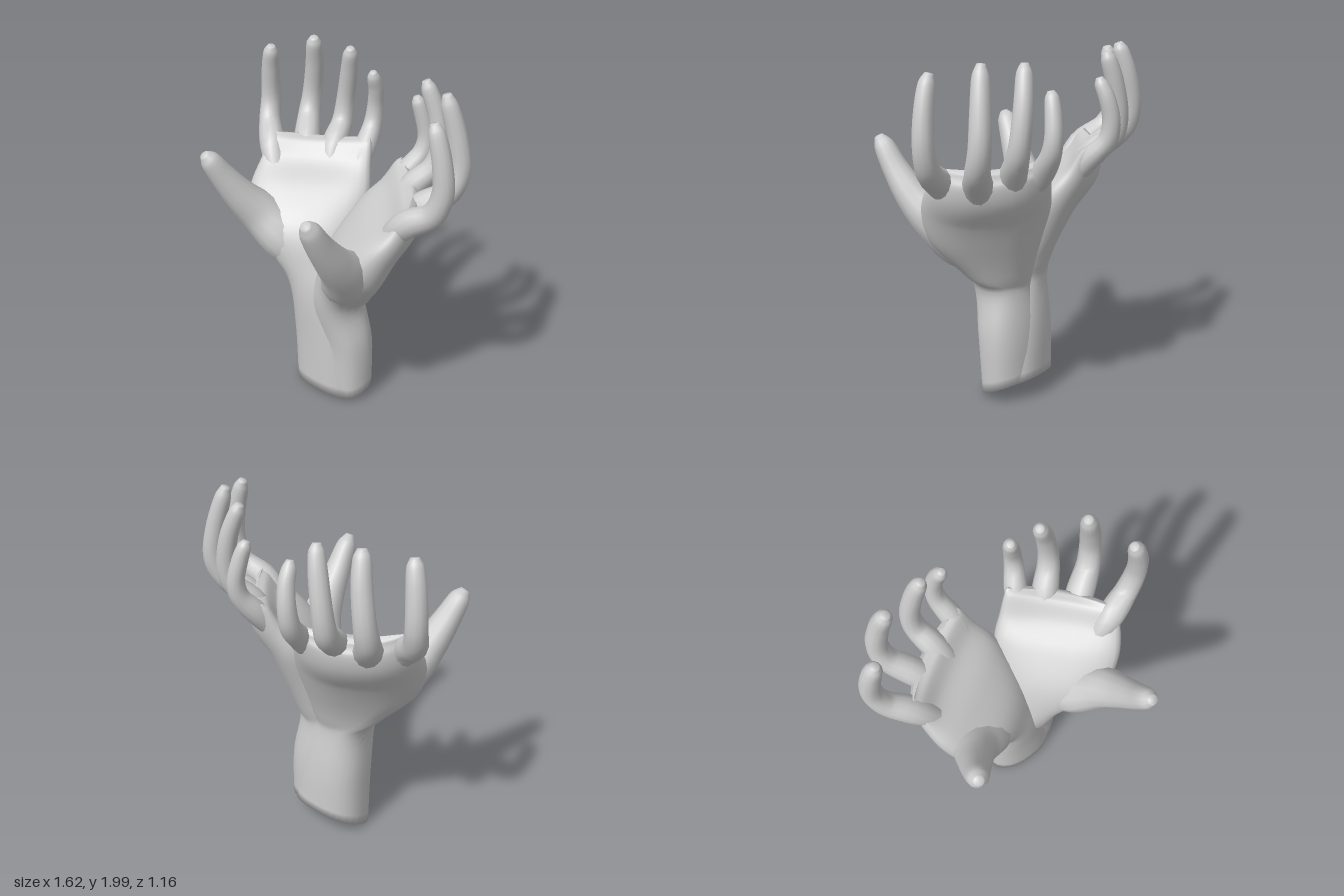
import * as THREE from 'three';

const V = (a) => new THREE.Vector3(a[0], a[1], a[2]);
const spline = (pts) => new THREE.CatmullRomCurve3(pts);

// Skins rings given by frame(t) -> { c, u, v }, with capped ends.
// cup pushes the middle of each ring sideways, making a hollow palm.
function loft(frame, rings, sides, power = 1) {
  const pos = [], idx = [];
  const soft = (x) => Math.sign(x) * Math.pow(Math.abs(x), power);
  for (let i = 0; i <= rings; i++) {
    const { c, u, v, cup = 0 } = frame(i / rings);
    const n = v.clone().normalize();
    for (let j = 0; j < sides; j++) {
      const a = (j / sides) * Math.PI * 2;
      const p = c.clone()
        .addScaledVector(u, soft(Math.cos(a)))
        .addScaledVector(v, soft(Math.sin(a)))
        .addScaledVector(n, cup * Math.sin(a) ** 2);
      pos.push(p.x, p.y, p.z);
    }
  }
  for (let i = 0; i < rings; i++) {
    for (let j = 0; j < sides; j++) {
      const k = (j + 1) % sides;
      const a = i * sides + j, b = i * sides + k;
      idx.push(a, b, b + sides, a, b + sides, a + sides);
    }
  }
  for (const i of [0, rings]) {
    const f = frame(i / rings), centre = pos.length / 3;
    const m = f.c.addScaledVector(f.v.clone().normalize(), f.cup || 0);
    pos.push(m.x, m.y, m.z);
    for (let j = 0; j < sides; j++) {
      const a = i * sides + j, b = i * sides + (j + 1) % sides;
      if (i === 0) idx.push(centre, b, a);
      else idx.push(centre, a, b);
    }
  }
  const g = new THREE.BufferGeometry();
  g.setAttribute('position', new THREE.Float32BufferAttribute(pos, 3));
  g.setIndex(idx);
  g.computeVertexNormals();
  return g;
}

// Round limb along a path, with a radius at each path point
function limb(path, radii) {
  const curve = spline(path.map(V));
  const size = spline(radii.map((r, i) => new THREE.Vector3(r, i, 0)));
  return loft((t) => {
    const d = curve.getTangent(t), r = size.getPoint(t).x;
    const u = new THREE.Vector3(1, 0, 0);
    u.addScaledVector(d, -u.dot(d)).normalize();
    const v = d.clone().cross(u);
    return { c: curve.getPoint(t), u: u.multiplyScalar(r), v: v.multiplyScalar(r) };
  }, 26, 12);
}

// Forearm and palm: sections are [thumb edge, little finger edge, half thickness, hollow]
function armAndPalm(sections, side) {
  const P = spline(sections.map((s) => V(s[0])));
  const Q = spline(sections.map((s) => V(s[1])));
  const T = spline(sections.map((s, i) => new THREE.Vector3(s[2], i, s[3])));
  const mid = (t) => P.getPoint(t).add(Q.getPoint(t)).multiplyScalar(0.5);
  const g = loft((t) => {
    const c = mid(t), u = P.getPoint(t).sub(c), k = T.getPoint(t);
    const d = mid(Math.min(1, t + 0.01)).sub(mid(Math.max(0, t - 0.01)));
    const v = d.cross(u).normalize().multiplyScalar(k.x);
    return { c, u, v, cup: -side * k.z };
  }, 44, 28, 0.85);
  // uneven cut at the foot
  const p = g.attributes.position;
  for (let i = 0; i < p.count; i++) {
    const y = p.getY(i);
    if (y < 0.4) p.setY(i, y + Math.abs(p.getZ(i) - 0.05) * 0.45 * (1 - y / 0.4));
  }
  g.computeVertexNormals();
  return g;
}

const fingerRadii = [0.055, 0.076, 0.065, 0.058, 0.053, 0.044, 0.022];
const thumbRadii = [0.08, 0.135, 0.125, 0.098, 0.075, 0.057, 0.025];
const fingerScale = { indexFinger: 1, middleFinger: 1.03, ringFinger: 0.96, littleFinger: 0.84 };

const rightHand = {
  side: 1,
  palm: [
    [[-0.25, 0.0, -0.02], [0.2, 0.02, -0.07], 0.175, 0],
    [[-0.25, 0.4, -0.01], [0.15, 0.4, -0.05], 0.175, 0],
    [[-0.25, 0.68, 0.04], [0.08, 0.68, -0.04], 0.165, 0],
    [[-0.32, 0.82, 0.13], [0.05, 0.82, -0.13], 0.165, 0],
    [[-0.47, 1.0, 0.2], [0.02, 1.0, -0.22], 0.165, 0.005],
    [[-0.56, 1.18, 0.13], [-0.01, 1.19, -0.31], 0.132, 0.04],
    [[-0.6, 1.32, 0.01], [-0.08, 1.33, -0.38], 0.098, 0.068],
    [[-0.6, 1.43, -0.06], [-0.12, 1.45, -0.42], 0.06, 0.065],
    [[-0.59, 1.47, -0.1], [-0.14, 1.48, -0.43], 0.015, 0.06],
  ],
  thumb: [[-0.16, 0.82, 0.04], [-0.28, 0.95, 0.1], [-0.4, 1.09, 0.17], [-0.455, 1.22, 0.27],
    [-0.495, 1.36, 0.36], [-0.52, 1.47, 0.425], [-0.53, 1.51, 0.455]],
  fingers: {
    indexFinger: [[-0.48, 1.23, -0.02], [-0.6, 1.38, -0.08], [-0.72, 1.48, -0.16], [-0.755, 1.6, -0.2],
      [-0.735, 1.8, -0.19], [-0.71, 1.9, -0.175], [-0.7, 1.94, -0.17]],
    middleFinger: [[-0.38, 1.22, -0.14], [-0.48, 1.38, -0.24], [-0.595, 1.5, -0.36], [-0.61, 1.62, -0.4],
      [-0.575, 1.82, -0.39], [-0.545, 1.95, -0.36], [-0.535, 1.99, -0.35]],
    ringFinger: [[-0.27, 1.24, -0.23], [-0.33, 1.4, -0.32], [-0.38, 1.5, -0.43], [-0.385, 1.62, -0.46],
      [-0.345, 1.82, -0.45], [-0.315, 1.93, -0.43], [-0.305, 1.97, -0.42]],
    littleFinger: [[-0.15, 1.25, -0.29], [-0.17, 1.4, -0.41], [-0.205, 1.52, -0.51], [-0.205, 1.63, -0.53],
      [-0.185, 1.75, -0.51], [-0.175, 1.82, -0.48], [-0.17, 1.855, -0.47]],
  },
};

const leftHand = {
  side: -1,
  palm: [
    [[0.24, 0.02, -0.04], [-0.12, 0.02, -0.1], 0.13, 0],
    [[0.245, 0.4, -0.02], [-0.12, 0.4, -0.08], 0.14, 0],
    [[0.21, 0.66, 0.04], [-0.1, 0.66, -0.05], 0.15, 0],
    [[0.29, 0.8, 0.13], [-0.06, 0.8, -0.13], 0.16, 0],
    [[0.44, 1.0, 0.21], [-0.02, 1.0, -0.22], 0.165, 0.005],
    [[0.53, 1.18, 0.17], [0.01, 1.19, -0.3], 0.132, 0.04],
    [[0.58, 1.3, 0.09], [0.08, 1.32, -0.35], 0.098, 0.068],
    [[0.59, 1.4, 0.03], [0.13, 1.44, -0.38], 0.06, 0.065],
    [[0.58, 1.44, -0.01], [0.15, 1.47, -0.39], 0.015, 0.06],
  ],
  thumb: [[0.15, 0.82, 0.06], [0.26, 0.93, 0.13], [0.36, 1.07, 0.23], [0.405, 1.19, 0.34],
    [0.425, 1.33, 0.445], [0.435, 1.46, 0.525], [0.44, 1.51, 0.56]],
  fingers: {
    indexFinger: [[0.45, 1.22, 0.02], [0.57, 1.36, 0.0], [0.7, 1.45, -0.05], [0.748, 1.57, -0.065],
      [0.74, 1.73, -0.06], [0.7, 1.89, -0.05], [0.68, 1.94, -0.05]],
    middleFinger: [[0.38, 1.21, -0.1], [0.49, 1.36, -0.19], [0.6, 1.46, -0.28], [0.63, 1.58, -0.32],
      [0.61, 1.76, -0.31], [0.57, 1.93, -0.28], [0.555, 1.99, -0.27]],
    ringFinger: [[0.26, 1.23, -0.21], [0.33, 1.39, -0.29], [0.4, 1.5, -0.37], [0.415, 1.6, -0.4],
      [0.39, 1.78, -0.4], [0.345, 1.93, -0.37], [0.33, 1.975, -0.36]],
    littleFinger: [[0.16, 1.25, -0.27], [0.2, 1.4, -0.38], [0.24, 1.51, -0.46], [0.245, 1.6, -0.48],
      [0.225, 1.73, -0.46], [0.21, 1.8, -0.44], [0.205, 1.83, -0.43]],
  },
};

function buildHand(name, spec, material) {
  const hand = new THREE.Group();
  hand.name = name;
  const add = (part, geometry) => {
    const mesh = new THREE.Mesh(geometry, material);
    mesh.name = part;
    hand.add(mesh);
  };
  add('forearmAndPalm', armAndPalm(spec.palm, spec.side));
  add('thumb', limb(spec.thumb, thumbRadii));
  for (const [finger, path] of Object.entries(spec.fingers)) {
    add(finger, limb(path, fingerRadii.map((r) => r * fingerScale[finger])));
  }
  return hand;
}

export function createModel() {
  const model = new THREE.Group();
  model.name = 'cuppedHands';
  const material = new THREE.MeshStandardMaterial({ color: 0xcccccc });
  model.add(buildHand('rightHand', rightHand, material));
  model.add(buildHand('leftHand', leftHand, material));
  return model;
}
